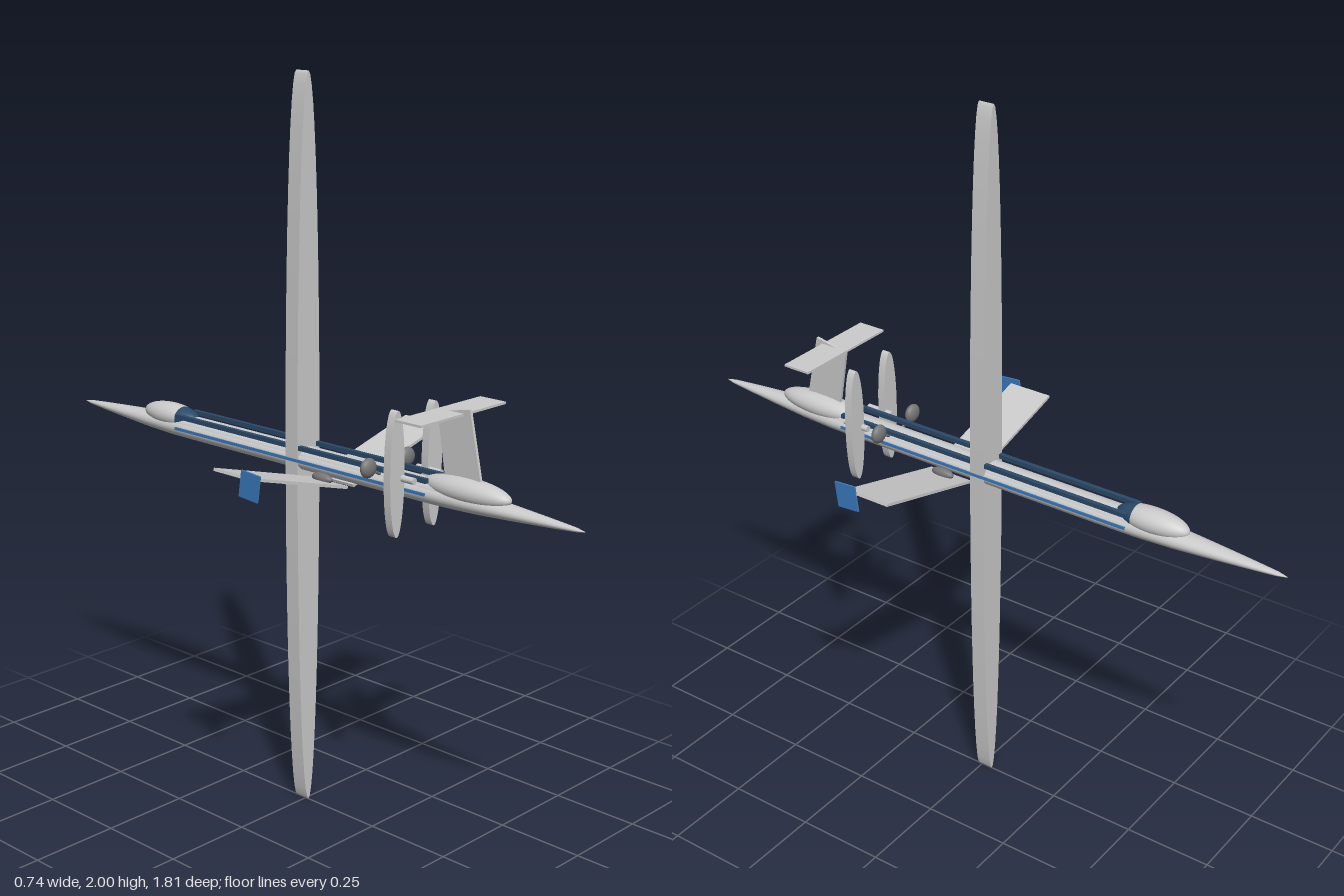
import * as THREE from 'three';

export function createModel() {
  const model = new THREE.Group();
  const grey = new THREE.MeshStandardMaterial({ color: 0xcccccc, side: THREE.DoubleSide });
  const dark = new THREE.MeshStandardMaterial({ color: 0x777777 });
  const blue = new THREE.MeshStandardMaterial({ color: 0x3a7abf, side: THREE.DoubleSide });
  const navy = new THREE.MeshStandardMaterial({ color: 0x2a4a6a });

  function add(name, geometry, material, x = 0, y = 0, z = 0) {
    const mesh = new THREE.Mesh(geometry, material);
    mesh.name = name;
    mesh.position.set(x, y, z);
    model.add(mesh);
    return mesh;
  }

  // Elliptical plate in the xy plane, thickness along z
  function ellipsePlate(rx, ry, depth) {
    return new THREE.CylinderGeometry(1, 1, depth, 48).rotateX(Math.PI / 2).scale(rx, ry, 1);
  }

  // Plate outlined by [z, y] points, thickness along x
  function sidePlate(points, thickness) {
    const shape = new THREE.Shape(points.map(([z, y]) => new THREE.Vector2(-z, y)));
    return new THREE.ExtrudeGeometry(shape, { depth: thickness, bevelEnabled: false })
      .translate(0, 0, -thickness / 2).rotateY(Math.PI / 2);
  }

  // Slender flattened hull with pointed ends
  const half = [[0.001, 0.907], [0.008, 0.88], [0.017, 0.8], [0.027, 0.7], [0.036, 0.6], [0.041, 0.5], [0.042, 0.42]];
  const profile = [...half.map(([r, z]) => [r, -z]), ...half.slice().reverse()];
  const hull = new THREE.LatheGeometry(profile.map(([r, z]) => new THREE.Vector2(r, z)), 32);
  add('hull', hull.rotateX(Math.PI / 2).scale(1, 0.68, 1), grey, 0, 0.987, 0);

  // Raised deck between the end fairings
  const deck = new THREE.CylinderGeometry(0.036, 0.036, 0.95, 32).rotateX(Math.PI / 2).scale(1, 0.75, 1);
  add('deck', deck, grey, 0, 0.995, 0);

  // Rounded end fairings; the rear one ends in a tinted window
  add('frontFairing', new THREE.SphereGeometry(1, 32, 20).rotateX(Math.PI / 2).scale(0.04, 0.034, 0.137), grey, 0, 1.013, 0.55);
  const cap = (start, length) => new THREE.SphereGeometry(1, 32, 14, 0, Math.PI * 2, start, length)
    .rotateX(Math.PI / 2).scale(0.04, 0.034, 0.105);
  add('rearFairing', cap(1.1, Math.PI - 1.1), grey, 0, 1.013, -0.527);
  add('rearWindow', cap(0, 1.1), navy, 0, 1.013, -0.527);

  // Tall upright blade amidships
  add('uprightBlade', ellipsePlate(0.042, 1, 0.044), grey, 0, 1, -0.012);

  // Raked fin and its tailplane
  add('fin', sidePlate([[0.6, 1.02], [0.557, 1.22], [0.455, 1.2], [0.485, 1.02]], 0.008), grey);
  add('tailplane', new THREE.BoxGeometry(0.325, 0.006, 0.082), grey, 0, 1.204, 0.496);

  for (const side of [1, -1]) {
    const label = side > 0 ? 'left' : 'right';

    // Rails and side stripes
    add(label + 'Rail', new THREE.BoxGeometry(0.012, 0.012, 0.92), navy, side * 0.034, 1.024, -0.01);
    add(label + 'Stripe', new THREE.BoxGeometry(0.006, 0.008, 0.92), blue, side * 0.041, 0.99, -0.01);

    // Upswept wing with a blue end plate
    const span = Math.hypot(0.355, 0.098);
    const wing = add(label + 'Wing', new THREE.BoxGeometry(span, 0.008, 0.13), grey, side * 0.188, 0.991, 0.097);
    wing.rotation.z = side * Math.atan2(0.098, 0.355);
    add(label + 'EndPlate', sidePlate([[0.2, 1.055], [0.135, 1.06], [0.125, 0.99], [0.19, 0.985]], 0.005), blue, side * 0.367, 0, 0);
    add(label + 'WingHub', new THREE.SphereGeometry(1, 16, 12).scale(0.014, 0.014, 0.035), dark, side * 0.042, 0.962, 0.1);

    // Elliptical propeller blade on a small nacelle
    add(label + 'Propeller', ellipsePlate(0.027, 0.165, 0.022), grey, side * 0.072, 1.035, 0.375);
    add(label + 'Nacelle', new THREE.CylinderGeometry(0.009, 0.009, 0.08, 16).rotateX(Math.PI / 2), grey, side * 0.052, 1.022, 0.385);

    // Dark rounded pod with its strut
    add(label + 'Pod', new THREE.SphereGeometry(1, 20, 14).scale(0.027, 0.026, 0.015), dark, side * 0.074, 1.034, 0.29);
    const strut = add(label + 'PodStrut', new THREE.CylinderGeometry(0.004, 0.004, 0.05, 10), dark, side * 0.05, 1.02, 0.29);
    strut.rotation.z = -side * 1.1;
  }
  return model;
}
